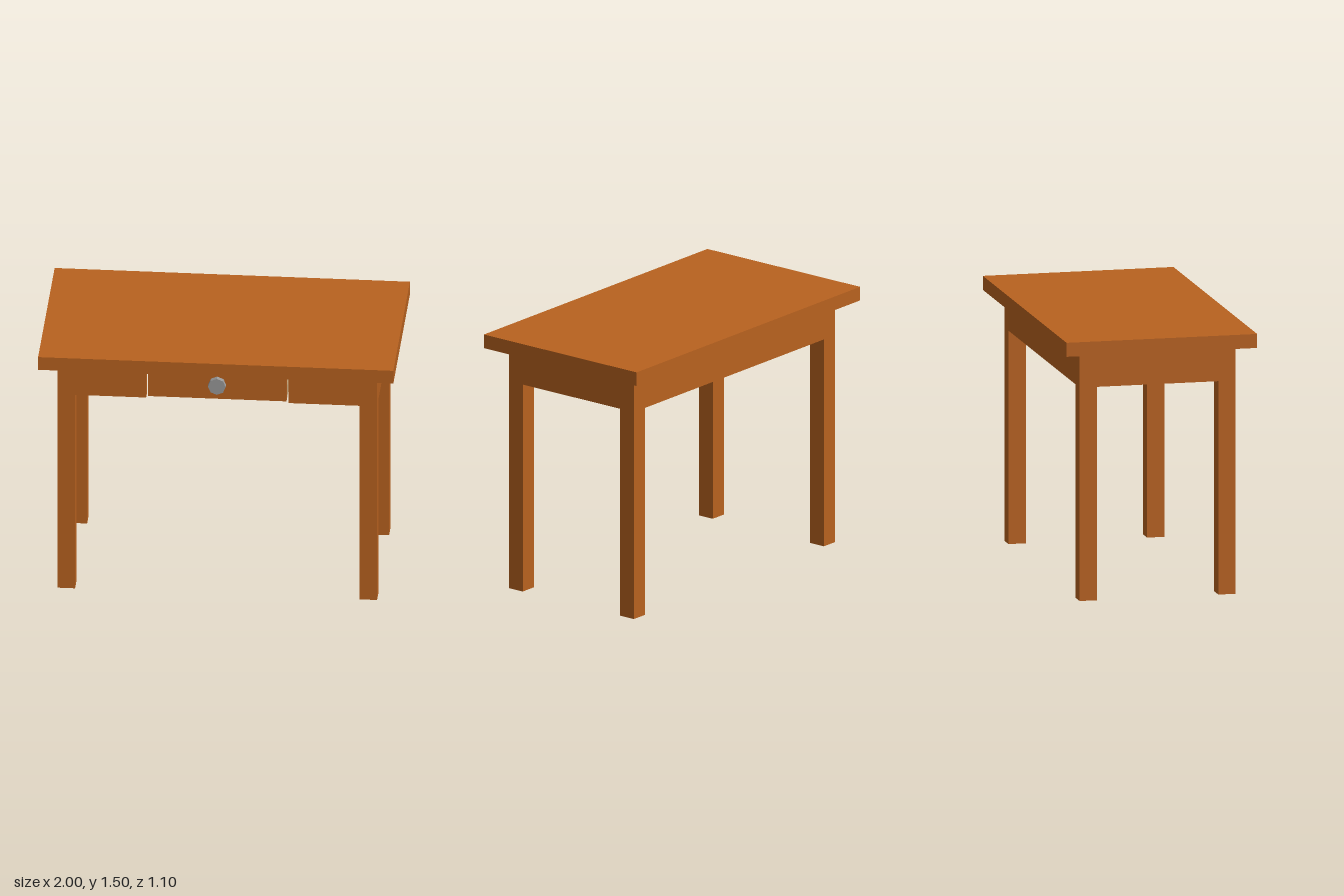
import * as THREE from 'three';

export function createModel() {
  const model = new THREE.Group();
  model.name = 'table';

  const mat = (name, color) => {
    const m = new THREE.MeshStandardMaterial({ color });
    m.name = name;
    return m;
  };
  const wood = mat('warmWood', 0xb8621f);
  const paleWood = mat('paleWood', 0xc8a87c);
  const metal = mat('greyMetal', 0x999999);

  // Box given by its lower and upper limits on each axis
  const box = (parent, name, material, [x0, x1], [y0, y1], [z0, z1]) => {
    const mesh = new THREE.Mesh(new THREE.BoxGeometry(x1 - x0, y1 - y0, z1 - z0), material);
    mesh.position.set((x0 + x1) / 2, (y0 + y1) / 2, (z0 + z1) / 2);
    mesh.name = name;
    parent.add(mesh);
  };
  // Range mirrored to the chosen side
  const side = (s, a, b) => (s > 0 ? [a, b] : [-b, -a]);

  box(model, 'tableTop', wood, [-1, 1], [1.42, 1.5], [-0.55, 0.55]);

  // Legs, side aprons and the short front aprons beside the drawer
  const apronY = [1.22, 1.42];
  for (const s of [1, -1]) {
    const label = s > 0 ? 'left' : 'right';
    box(model, label + 'FrontLeg', wood, side(s, 0.8, 0.9), [0, 1.42], [0.35, 0.45]);
    box(model, label + 'BackLeg', wood, side(s, 0.8, 0.9), [0, 1.42], [-0.45, -0.35]);
    box(model, label + 'Apron', wood, side(s, 0.85, 0.9), apronY, [-0.35, 0.35]);
    box(model, label + 'FrontApron', wood, side(s, 0.4, 0.8), apronY, [0.4, 0.45]);
  }
  box(model, 'backApron', wood, [-0.8, 0.8], apronY, [-0.45, -0.4]);

  // Drawer: front panel and an open box with a runner groove in each side
  const drawer = new THREE.Group();
  drawer.name = 'drawer';
  model.add(drawer);
  box(drawer, 'drawerFront', wood, [-0.39, 0.39], [1.23, 1.41], [0.4, 0.45]);
  box(drawer, 'drawerBottom', paleWood, [-0.39, 0.39], [1.23, 1.25], [-0.225, 0.4]);
  box(drawer, 'drawerBack', paleWood, [-0.36, 0.36], [1.25, 1.41], [-0.225, -0.195]);
  for (const s of [1, -1]) {
    box(drawer, 'drawerSideLower', paleWood, side(s, 0.36, 0.39), [1.25, 1.31], [-0.225, 0.4]);
    box(drawer, 'drawerSideGroove', paleWood, side(s, 0.36, 0.375), [1.31, 1.33], [-0.225, 0.4]);
    box(drawer, 'drawerSideUpper', paleWood, side(s, 0.36, 0.39), [1.33, 1.41], [-0.225, 0.4]);
  }

  // Eight-sided knob
  const knobShape = new THREE.CylinderGeometry(0.05, 0.05, 0.03, 8).toNonIndexed();
  knobShape.computeVertexNormals();
  const knob = new THREE.Mesh(knobShape, metal);
  knob.rotation.x = Math.PI / 2;
  knob.position.set(0, 1.32, 0.465);
  knob.name = 'drawerKnob';
  drawer.add(knob);

  return model;
}
